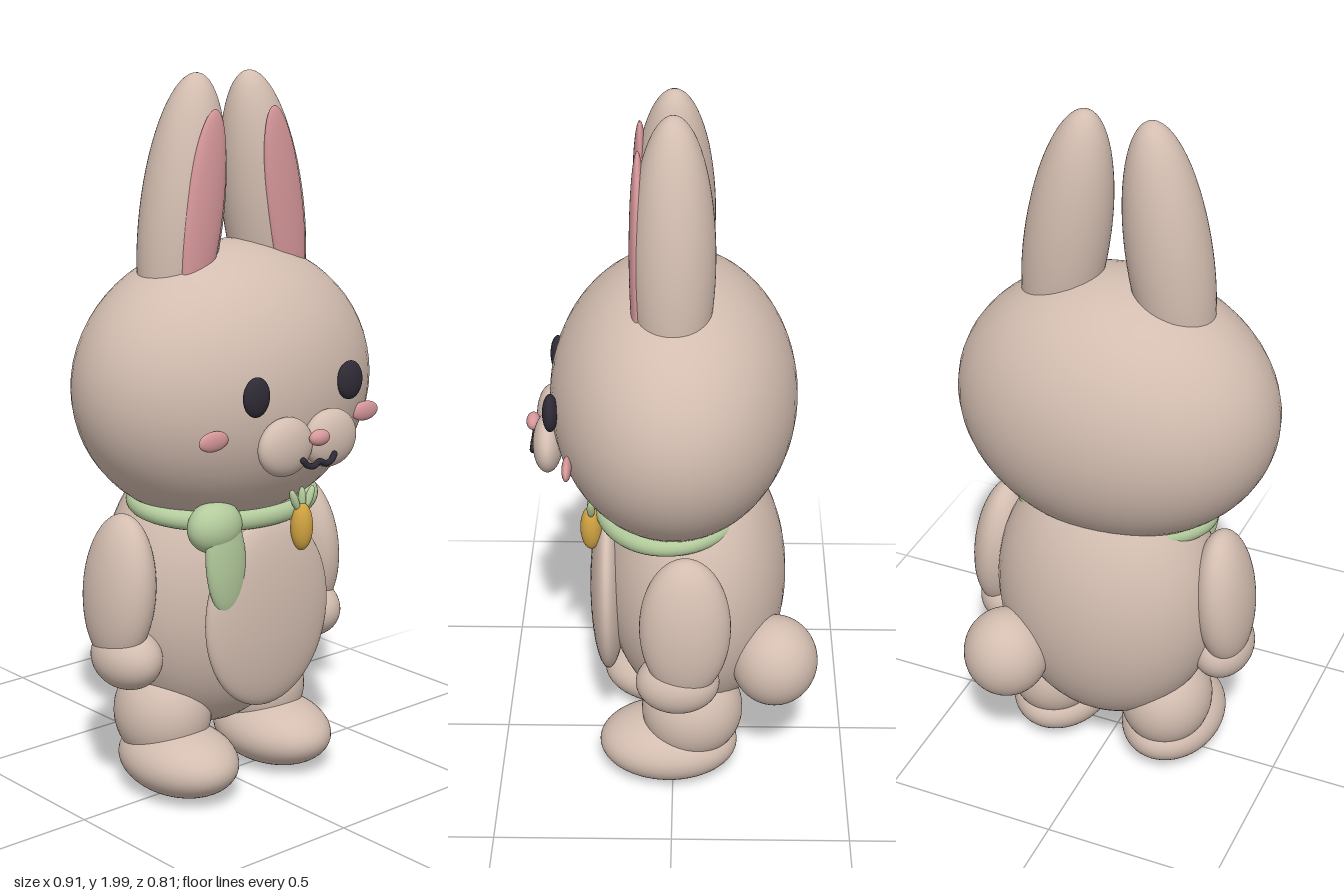
import * as THREE from 'three';

const mat = (name, color) => {
  const m = new THREE.MeshStandardMaterial({ color });
  m.name = name;
  return m;
};

export function createModel() {
  const model = new THREE.Group();
  model.name = 'rabbit';
  const fur = mat('fur', 0xd3bdb0);
  const pink = mat('pink', 0xd6979a);
  const dark = mat('dark', 0x2f2b36);
  const green = mat('scarfGreen', 0xb3cb9c);
  const gold = mat('gold', 0xd0a341);

  const ball = new THREE.SphereGeometry(1, 48, 32);

  // Ellipsoid with centre c, radii r and a tilt about z
  const blob = (name, material, c, r, tilt = 0) => {
    const m = new THREE.Mesh(ball, material);
    m.name = name;
    m.position.set(...c);
    m.scale.set(...r);
    m.rotation.z = tilt;
    model.add(m);
    return m;
  };
  // The same ellipsoid on both sides
  const pair = (name, material, [x, y, z], r, tilt = 0) => {
    blob(name + 'Left', material, [x, y, z], r, tilt);
    blob(name + 'Right', material, [-x, y, z], r, -tilt);
  };

  // Head and torso
  blob('head', fur, [0, 1.165, 0], [0.457, 0.386, 0.337]);
  blob('body', fur, [0, 0.58, -0.06], [0.33, 0.42, 0.26]);
  blob('tummy', fur, [0, 0.54, 0.187], [0.22, 0.268, 0.053]);
  blob('tail', fur, [0.223, 0.427, -0.286], [0.122, 0.131, 0.122]);

  // Ears
  pair('ear', fur, [0.145, 1.63, 0], [0.114, 0.373, 0.11], 0.155);
  pair('innerEar', pink, [0.143, 1.64, 0.09], [0.062, 0.272, 0.023], 0.155);

  // Face
  pair('eye', dark, [0.167, 1.192, 0.326], [0.043, 0.053, 0.021]);
  pair('cheek', pink, [0.272, 1.083, 0.279], [0.049, 0.027, 0.013]);
  pair('muzzle', fur, [0.08, 1.05, 0.342], [0.09, 0.079, 0.041]);
  blob('nose', pink, [0, 1.071, 0.387], [0.033, 0.022, 0.019]);

  const half = [[0.056, 1.017, 0.386], [0.043, 1.003, 0.388], [0.022, 0.998, 0.389]];
  const mouthPoints = [
    ...half.map(([x, y, z]) => new THREE.Vector3(-x, y, z)),
    new THREE.Vector3(0, 1.007, 0.388),
    ...half.reverse().map((p) => new THREE.Vector3(...p)),
  ];
  const mouth = new THREE.Mesh(
    new THREE.TubeGeometry(new THREE.CatmullRomCurve3(mouthPoints), 40, 0.0085, 10), dark);
  mouth.name = 'mouth';
  model.add(mouth);
  pair('mouthEnd', dark, [0.056, 1.017, 0.386], [0.0085, 0.0085, 0.0085]);

  // Arms and legs
  pair('arm', fur, [0.342, 0.62, -0.035], [0.08, 0.212, 0.125], 0.1);
  pair('hand', fur, [0.335, 0.433, -0.015], [0.087, 0.089, 0.116]);
  pair('leg', fur, [0.178, 0.225, -0.055], [0.134, 0.15, 0.145]);
  pair('foot', fur, [0.177, 0.105, 0.013], [0.147, 0.1, 0.199]);

  // Neck scarf with knot and hanging end
  const scarf = new THREE.Mesh(
    new THREE.TorusGeometry(0.268, 0.027, 20, 72).rotateX(Math.PI / 2), green);
  scarf.name = 'scarf';
  scarf.scale.set(1, 1, 0.77);
  scarf.position.set(0, 0.838, 0);
  scarf.rotation.x = 0.09;
  model.add(scarf);
  blob('scarfKnot', green, [-0.18, 0.815, 0.175], [0.083, 0.072, 0.06]);
  blob('scarfEnd', green, [-0.165, 0.72, 0.203], [0.066, 0.155, 0.03], 0.07);

  // Small carrot charm with leaves
  blob('carrot', gold, [0.086, 0.778, 0.23], [0.032, 0.068, 0.03]);
  for (const [i, side] of [-1, 0, 1].entries()) {
    blob('carrotLeaf' + (i + 1), green, [0.088 + side * 0.027, 0.855, 0.228],
      [0.011, 0.034, 0.011], -side * 0.42);
  }
  return model;
}
